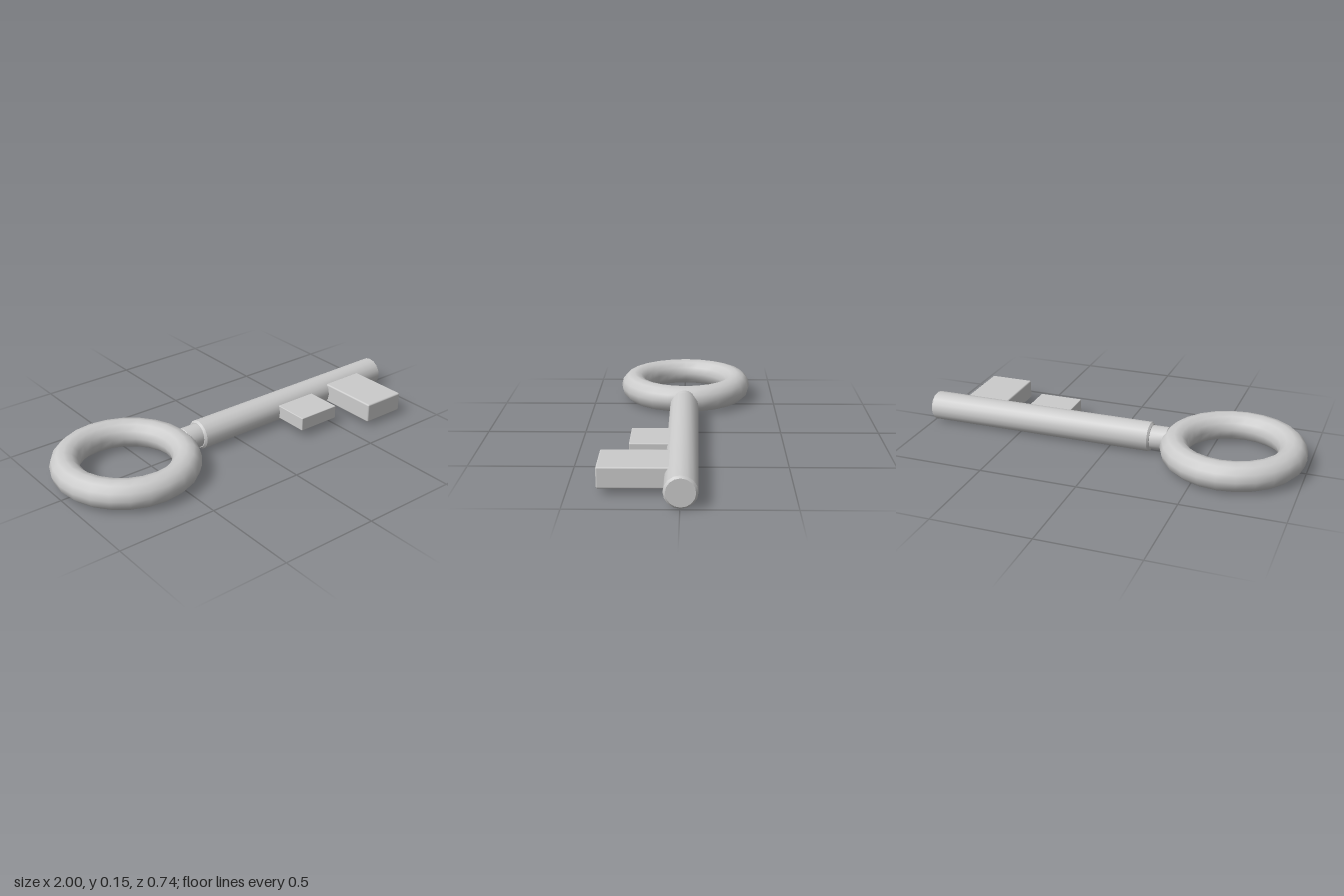
import * as THREE from 'three';
import { toCreasedNormals } from 'three/addons/utils/BufferGeometryUtils.js';
import { RoundedBoxGeometry } from 'three/addons/geometries/RoundedBoxGeometry.js';

const AXIS_Y = 0.077;
const AXIS_Z = -0.003;

export function createModel() {
  const key = new THREE.Group();
  key.name = 'key';
  const material = new THREE.MeshStandardMaterial({ color: 0xcccccc });

  const add = (name, geometry, x, y, z) => {
    const mesh = new THREE.Mesh(geometry, material);
    mesh.name = name;
    mesh.position.set(x, y, z);
    key.add(mesh);
  };

  // Closed rod along x with chamfered ends
  const rod = (x0, x1, radius, bevel) => {
    const profile = [
      [0, x0], [radius - bevel, x0], [radius, x0 + bevel],
      [radius, x1 - bevel], [radius - bevel, x1], [0, x1],
    ].map(([r, x]) => new THREE.Vector2(r, x));
    const geometry = new THREE.LatheGeometry(profile, 16).rotateZ(-Math.PI / 2);
    return toCreasedNormals(geometry, 0.6);
  };

  // Handle ring lying flat
  const ring = new THREE.TorusGeometry(0.291, 0.072, 12, 24).rotateX(Math.PI / 2);
  add('handleRing', ring, -0.637, AXIS_Y, -0.005);

  // Neck and shaft
  add('neck', rod(-0.31, -0.2, 0.061, 0.008), 0, AXIS_Y, AXIS_Z);
  add('shaft', rod(-0.22, 1, 0.075, 0.01), 0, AXIS_Y, AXIS_Z);

  // Teeth reaching out of the shaft towards the front: centre x, height, front z, edge radius
  [
    ['smallTooth', 0.377, 0.07, 0.245, 0.004],
    ['largeTooth', 0.725, 0.1, 0.367, 0.008],
  ].forEach(([name, x, height, front, edge]) => {
    add(name, new RoundedBoxGeometry(0.232, height, front, 2, edge), x, 0.079, front / 2);
  });

  return key;
}
